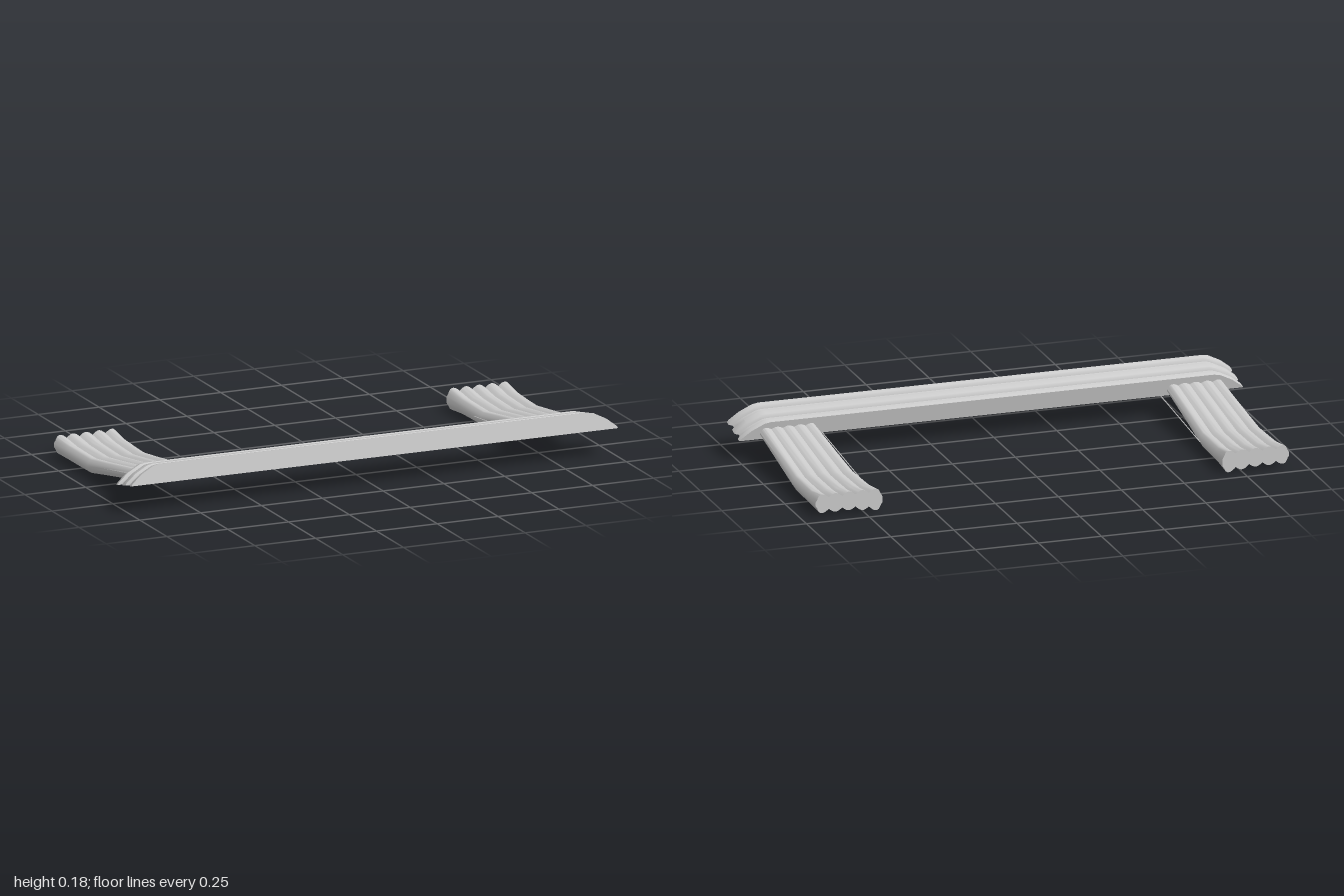
import * as THREE from 'three';
import { mergeVertices, toCreasedNormals } from 'three/addons/utils/BufferGeometryUtils.js';

const material = new THREE.MeshStandardMaterial({ color: 0xcccccc });

// Skin closed loops that advance along +z, each counterclockwise seen from +z, and cap both ends
function loft(loops, crease) {
  const n = loops[0].length, last = (loops.length - 1) * n, index = [];
  for (let i = 0; i < loops.length - 1; i++) {
    for (let j = 0; j < n; j++) {
      const k = (j + 1) % n;
      const a = i * n + j, b = i * n + k, c = b + n, d = a + n;
      index.push(a, b, d, b, c, d);
    }
  }
  const cap = (loop, start, flip) => {
    const contour = loop.map((p) => new THREE.Vector2(p.x, p.y));
    for (const [a, b, c] of THREE.ShapeUtils.triangulateShape(contour, [])) {
      index.push(start + a, start + (flip ? c : b), start + (flip ? b : c));
    }
  };
  cap(loops[0], 0, true);
  cap(loops[loops.length - 1], last, false);
  const geometry = new THREE.BufferGeometry().setFromPoints(loops.flat());
  geometry.setIndex(index);
  return toCreasedNormals(mergeVertices(geometry), crease);
}

// Cornice: bevelled outline swept front to back, with two grooves running over it
function createCornice() {
  const rows = [ // depth, groove inset
    [0, 0.003], [0.004, 0], [0.018, 0], [0.025, 0.01], [0.035, 0.014], [0.05, 0.013],
    [0.055, 0.003], [0.06, 0], [0.088, 0.001], [0.095, 0.01], [0.105, 0.014],
    [0.12, 0.013], [0.125, 0.003], [0.13, 0], [0.148, 0],
  ];
  const outline = [ // x, height, inset direction
    [1, 0, 1, 0], [0.995, 0.009, 1, 0.2], [0.955, 0.041, 0.6, 0.8],
    [0.905, 0.067, 0.4, 0.95], [0.88, 0.0715, 0, 1],
  ];
  const loops = rows.map(([z, inset]) => {
    const half = outline.map(([x, y, nx, ny]) =>
      new THREE.Vector3(x - nx * inset, y - ny * inset, z));
    const mirrored = half.map((p) => new THREE.Vector3(-p.x, p.y, p.z)).reverse();
    return [...half, ...mirrored];
  });
  const mesh = new THREE.Mesh(loft(loops, 0.75), material);
  mesh.name = 'cornice';
  mesh.position.set(0, 0.085, 0.28);
  mesh.rotation.x = -0.205;
  return mesh;
}

// Drape: five soft pleats, bent along its length and flaring at the free end
function createDrape(side) {
  const stations = [ // z, bottom y, top y, inner x, outer x, inner sag
    [-0.43, 0.014, 0.088, 0.675, 0.94, 0.014],
    [-0.33, 0.014, 0.074, 0.678, 0.936, 0.004],
    [-0.24, 0.013, 0.072, 0.68, 0.934, 0.002],
    [-0.14, 0.013, 0.071, 0.682, 0.932, 0.001],
    [0.0, 0.039, 0.09, 0.687, 0.928, 0],
    [0.27, 0.087, 0.13, 0.695, 0.92, 0],
    [0.38, 0.105, 0.145, 0.698, 0.917, 0],
  ];
  const steps = 40, pleats = 5;
  const loops = stations.map(([z, low, high, inner, outer, sag]) => {
    const loop = [];
    const mid = (low + high) / 2, half = (high - low) / 2;
    const add = (t, dir) => {
      const lobe = 0.62 + 0.38 * Math.abs(Math.sin(pleats * Math.PI * t));
      const edge = Math.min(1, 0.25 + 14 * Math.min(t, 1 - t));
      const drop = dir < 0 ? sag * Math.max(0, 1 - t / 0.45) : 0;
      loop.push(new THREE.Vector3(
        side * THREE.MathUtils.lerp(inner, outer, t),
        mid + dir * half * lobe * edge - drop, z));
    };
    for (let i = 0; i <= steps; i++) add(i / steps, -1);
    for (let i = steps; i >= 0; i--) add(i / steps, 1);
    return side > 0 ? loop : loop.reverse();
  });
  const mesh = new THREE.Mesh(loft(loops, 0.7), material);
  mesh.name = side > 0 ? 'leftDrape' : 'rightDrape';
  return mesh;
}

// Thin cord from the cornice along the inner edge of the drape
function createCord(side) {
  const path = new THREE.LineCurve3(
    new THREE.Vector3(side * 0.672, 0.088, 0.3),
    new THREE.Vector3(side * 0.674, 0.045, -0.175));
  const mesh = new THREE.Mesh(new THREE.TubeGeometry(path, 1, 0.002, 6), material);
  mesh.name = side > 0 ? 'leftCord' : 'rightCord';
  return mesh;
}

export function createModel() {
  const group = new THREE.Group();
  group.name = 'curtainValance';
  group.add(createCornice());
  for (const side of [1, -1]) group.add(createDrape(side), createCord(side));
  return group;
}
